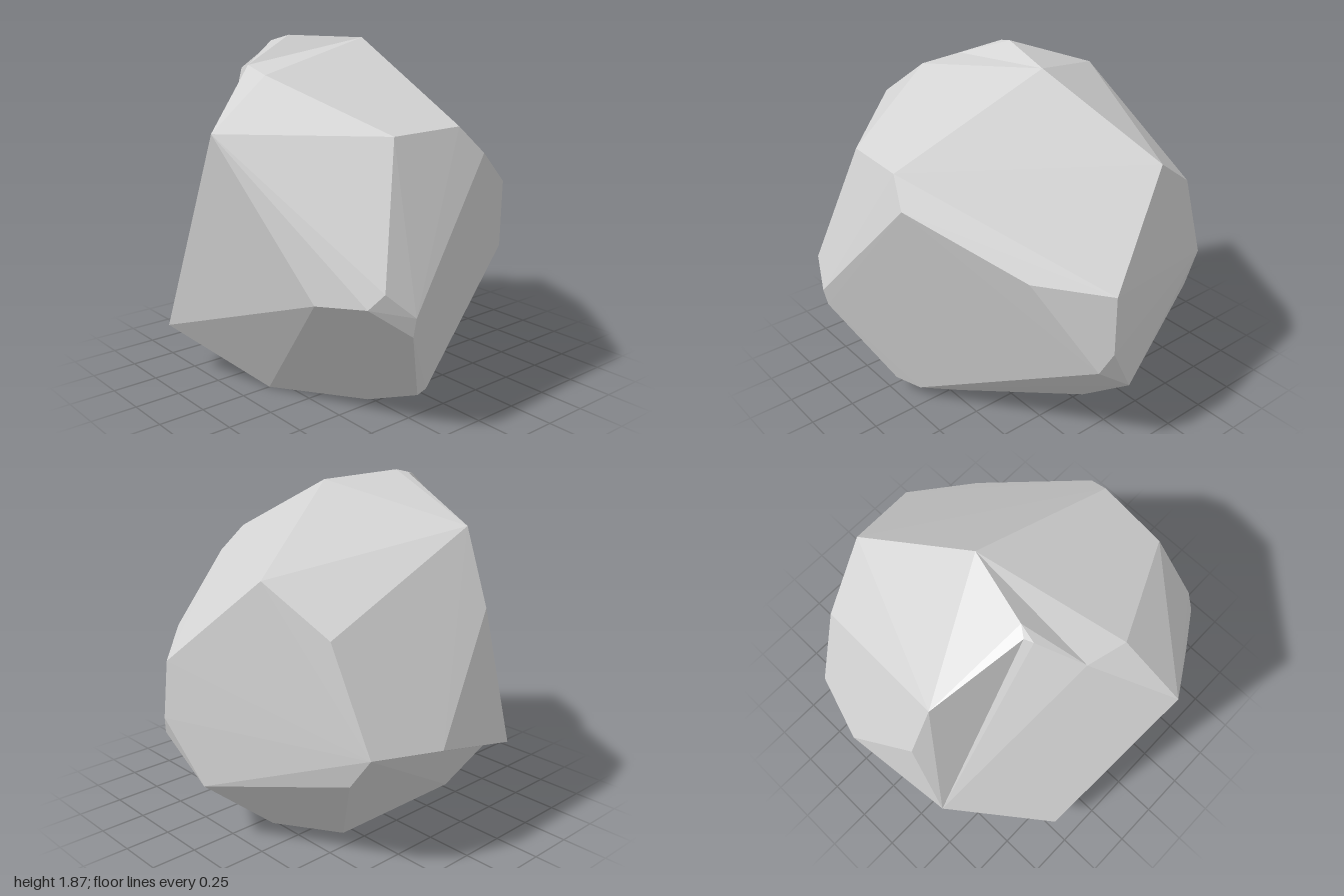
import * as THREE from 'three';
import { ConvexGeometry } from 'three/addons/geometries/ConvexGeometry.js';

const v = (x, y, z) => new THREE.Vector3(x, y, z);

export function createModel() {
  const stone = new THREE.MeshStandardMaterial({ color: 0xd3d3d3 });
  stone.name = 'stone grey';
  const group = new THREE.Group();
  group.name = 'boulder';

  const addHull = (name, points) => {
    const mesh = new THREE.Mesh(new ConvexGeometry(points), stone);
    mesh.name = name;
    group.add(mesh);
  };

  // corners where the three chunks meet
  const notch = v(-0.08, 1.74, 0.61);
  const backTop = v(-0.06, 1.845, -0.13);
  const peak = v(-0.18, 1.87, 0.28);
  const crest = v(-0.22, 1.85, 0.335);
  const frontLow = v(-0.50, 0.29, 0.90);
  const leftSpur = v(-0.92, 0.49, 0.40);
  const leftWaist = v(-1.0, 0.66, -0.22);
  const backLeft = v(-0.88, 0.68, -0.59);
  const backRidge = [v(-0.31, 1.46, -0.76), v(-0.66, 1.22, -0.64)];

  // flat footprint on the ground
  const base = [[0, 0.58], [0.46, 0.27], [0.46, -0.04], [-0.06, -0.52], [-0.40, -0.31], [-0.40, 0.53]]
    .map(([x, z]) => v(x, 0, z));

  // upper front and left corners
  const upper = [
    v(0.14, 1.71, 0.66), v(0.18, 1.465, 1.0), v(0.76, 1.46, 0.38),
    v(0.79, 1.47, -0.02), v(0.84, 1.33, -0.15),
  ];

  // corners round the waist
  const waist = [
    v(0.94, 0.79, 0.59), v(0.90, 0.72, 0.66), v(0.69, 0.715, 0.80),
    v(1.0, 0.66, 0.45), v(0.98, 0.56, 0.45), v(0.74, 0.10, 0.18), v(0.67, 0.07, 0.05),
    v(-0.76, 0.51, -0.61),
  ];

  // back corners
  const back = [
    v(0.50, 1.05, -0.70), v(0.19, 0.99, -0.98), v(0.21, 0.68, -1.0),
    v(0.27, 0.57, -0.96), v(0, 0.34, -0.92),
  ];

  // main mass
  addHull('rockBody', [
    notch, backTop, frontLow, backLeft, ...backRidge, ...base, ...upper, ...waist, ...back,
  ]);

  // shoulder on the right side, set off from the front by a shallow valley
  addHull('rockShoulder', [
    crest, peak, backTop, leftSpur, leftWaist, backLeft, ...backRidge,
    v(-0.73, 1.65, 0.22), v(-0.88, 1.26, 0.21),
  ]);

  // sloping front slab, running up to the peak and leaving a small notch beside it
  addHull('rockFrontSlab', [
    v(-0.20, 1.845, 0.38), notch, backTop, peak, crest, frontLow, leftSpur, leftWaist, backLeft,
  ]);

  return group;
}
